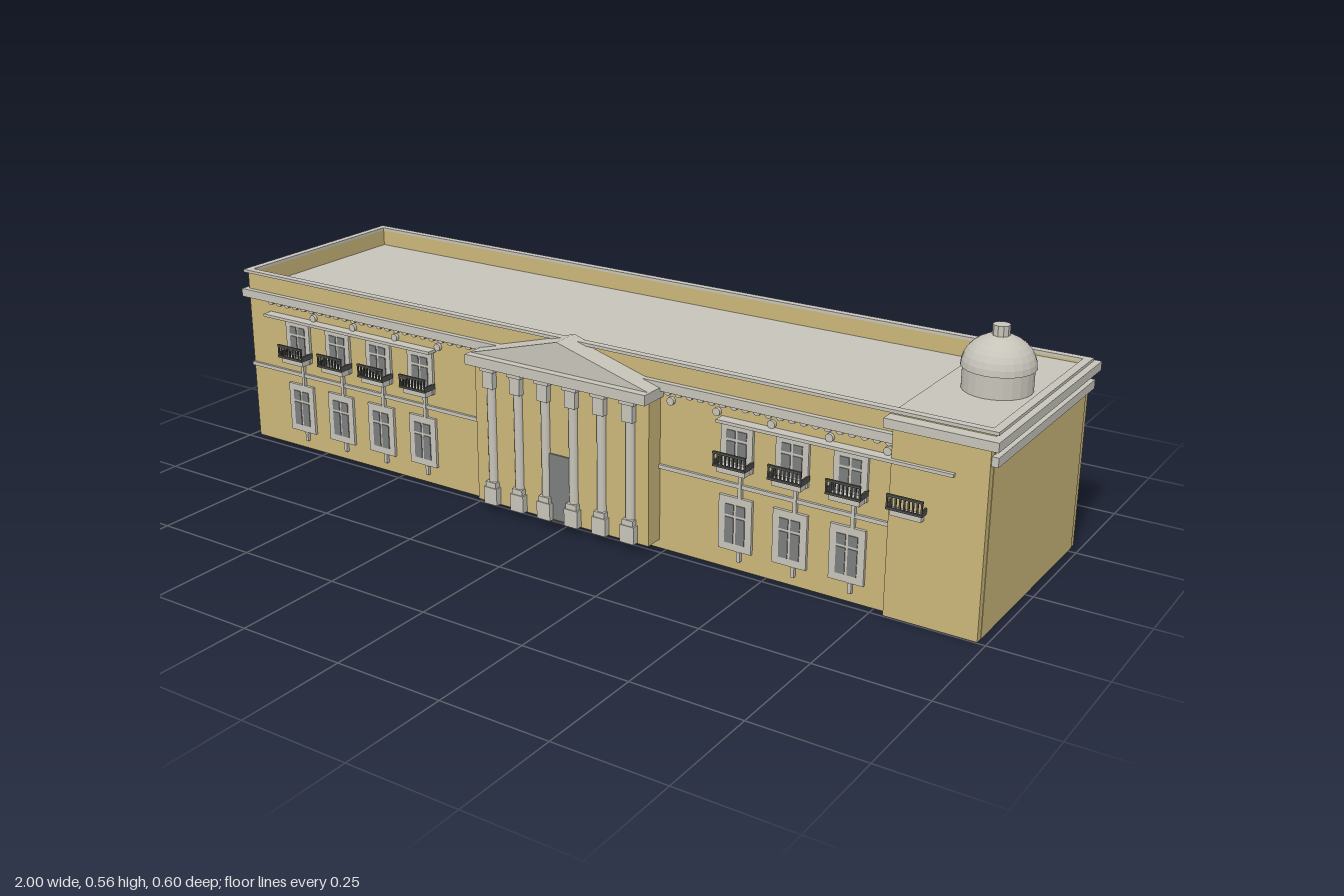
import * as THREE from 'three';

const mat = (name, color, side = THREE.FrontSide) => {
  const m = new THREE.MeshStandardMaterial({ color, side });
  m.name = name;
  return m;
};

export function createModel() {
  const tan = mat('ochre plaster', 0xcab679);
  const stone = mat('pale stone', 0xc6c3b9);
  const glass = mat('grey glass', 0x7b7d7d);
  const iron = mat('dark iron', 0x4c4c4a);

  const root = new THREE.Group();
  root.name = 'building';
  const add = (parent, name, geo, m) => {
    const mesh = new THREE.Mesh(geo, m);
    mesh.name = name;
    parent.add(mesh);
    return mesh;
  };
  // Box given by its limits on each axis
  const box = (parent, name, m, x0, x1, y0, y1, z0, z1) => {
    const mesh = add(parent, name, new THREE.BoxGeometry(x1 - x0, y1 - y0, z1 - z0), m);
    mesh.position.set((x0 + x1) / 2, (y0 + y1) / 2, (z0 + z1) / 2);
    return mesh;
  };
  const faceted = (geo) => {
    const g = geo.toNonIndexed();
    g.computeVertexNormals();
    return g;
  };
  // Rectangular ring of four bars, lying flat
  const ring = (name, m, x0, x1, y0, y1, z0, z1, t) => {
    const g = new THREE.Group();
    g.name = name;
    box(g, name + 'Front', m, x0, x1, y0, y1, z1 - t, z1);
    box(g, name + 'Back', m, x0, x1, y0, y1, z0, z0 + t);
    box(g, name + 'Left', m, x1 - t, x1, y0, y1, z0 + t, z1 - t);
    box(g, name + 'Right', m, x0, x0 + t, y0, y1, z0 + t, z1 - t);
    root.add(g);
  };

  // Main block with sunken roof, cornice and parapet
  box(root, 'mainWalls', tan, -0.982, 0.982, 0, 0.385, -0.27, 0.23);
  box(root, 'roof', stone, -0.975, 0.975, 0.385, 0.392, -0.262, 0.222);
  ring('parapet', tan, -0.982, 0.982, 0.385, 0.432, -0.27, 0.23, 0.01);
  ring('parapetCap', stone, -0.99, 0.99, 0.432, 0.439, -0.277, 0.238, 0.018);
  ring('cornice', stone, -0.995, 0.995, 0.37, 0.39, -0.283, 0.243, 0.02);

  // Corner tower with flat slab and dome
  box(root, 'towerWalls', tan, 0.778, 0.981, 0, 0.407, -0.286, 0.247);
  box(root, 'towerSlab', stone, 0.763, 1.0, 0.407, 0.427, -0.3, 0.26);
  const dome = new THREE.Group();
  dome.name = 'dome';
  dome.position.set(0.88, 0, -0.02);
  root.add(dome);
  const turned = (name, pts) => add(dome, name,
    faceted(new THREE.LatheGeometry(pts.map(([r, y]) => new THREE.Vector2(r, y)), 24)), stone);
  turned('domeDrum', [[0.073, 0.427], [0.073, 0.475]]);
  const shell = [[0.073, 0.475]];
  for (let i = 0; i <= 8; i++) {
    const a = (i / 8) * Math.PI / 2;
    shell.push([0.077 * Math.cos(a), 0.475 + 0.068 * Math.sin(a)]);
  }
  turned('domeShell', shell);
  const finial = add(dome, 'domeFinial', faceted(new THREE.CylinderGeometry(0.018, 0.018, 0.028, 10)), stone);
  finial.position.y = 0.549;

  // Portico: wall block, entablature, pediment, door
  const portico = new THREE.Group();
  portico.name = 'portico';
  root.add(portico);
  box(portico, 'porticoWall', tan, -0.233, 0.233, 0.02, 0.356, 0.22, 0.275);
  box(portico, 'entablature', stone, -0.24, 0.24, 0.354, 0.378, 0.225, 0.302);
  const gable = new THREE.Shape([[-0.236, 0.378], [0.236, 0.378], [0, 0.445]]
    .map(([x, y]) => new THREE.Vector2(x, y)));
  const pediment = add(portico, 'pediment',
    new THREE.ExtrudeGeometry(gable, { depth: 0.068, bevelEnabled: false }), stone);
  pediment.position.z = 0.215;
  box(portico, 'door', glass, -0.032, 0.032, 0.02, 0.18, 0.27, 0.279);
  box(portico, 'doorStep', iron, -0.036, 0.036, 0.016, 0.023, 0.272, 0.281);

  // Six engaged columns with stepped bases and capitals
  for (let i = 0; i < 6; i++) {
    const x = -0.187 + i * 0.0748;
    const col = new THREE.Group();
    col.name = 'column' + (i + 1);
    col.position.set(x, 0, 0.275);
    portico.add(col);
    const shaft = add(col, 'shaft', new THREE.CylinderGeometry(0.011, 0.011, 0.25, 14), stone);
    shaft.position.y = 0.19;
    box(col, 'plinth', stone, -0.018, 0.018, 0.022, 0.063, -0.008, 0.016);
    box(col, 'baseCollar', stone, -0.014, 0.014, 0.063, 0.076, -0.008, 0.014);
    box(col, 'capitalCollar', stone, -0.014, 0.014, 0.303, 0.343, -0.008, 0.015);
    box(col, 'abacus', stone, -0.019, 0.019, 0.343, 0.356, -0.008, 0.018);
  }

  // Framed window with two casements, each split by a bar
  const wall = 0.23;
  const window_ = (parent, name, y0, y1, w) => {
    const g = new THREE.Group();
    g.name = name;
    parent.add(g);
    const h = w / 2;
    box(g, 'windowFrame', stone, -h, h, y0, y1, wall - 0.005, wall + 0.007);
    for (const s of [-1, 1]) {
      const c = s * 0.0135, top = y1 - 0.017, bottom = y0 + 0.017, split = top - (top - bottom) * 0.3;
      box(g, 'lowerPane', glass, c - 0.0105, c + 0.0105, bottom, split - 0.003, wall, wall + 0.009);
      box(g, 'upperPane', glass, c - 0.0105, c + 0.0105, split + 0.003, top, wall, wall + 0.009);
    }
  };

  // Window bays, the last one partly swallowed by the tower
  const bays = [-0.82, -0.69, -0.56, -0.43, 0.425, 0.555, 0.687, 0.82];
  bays.forEach((x, i) => {
    const bay = new THREE.Group();
    bay.name = 'bay' + (i + 1);
    bay.position.x = x;
    root.add(bay);
    if (i < 7) {
      window_(bay, 'lowerWindow', 0.045, 0.168, 0.08);
      window_(bay, 'upperWindow', 0.23, 0.335, 0.076);
      box(bay, 'bracketStrip', stone, 0.006, 0.014, 0.168, 0.23, wall - 0.005, wall + 0.008);
      box(bay, 'sillDrop', stone, 0.006, 0.014, 0.022, 0.045, wall - 0.005, wall + 0.008);
    }
    // Balcony with iron railing
    box(bay, 'balconyFloor', stone, -0.034, 0.034, 0.228, 0.242, wall, 0.26);
    for (const y of [0.243, 0.271])
      box(bay, 'balconyRail', iron, -0.039, 0.039, y, y + 0.005, 0.264, 0.269);
    for (let k = 0; k < 9; k++) {
      const bx = -0.037 + k * 0.00925;
      box(bay, 'baluster', iron, bx - 0.0018, bx + 0.0018, 0.243, 0.275, 0.265, 0.268);
    }
    for (const s of [-1, 1])
      box(bay, 'balconySide', iron, s * 0.037 - 0.002, s * 0.037 + 0.002, 0.243, 0.256, wall, 0.265);
  });

  // Trim on each wing: string course, hood moulding, roundels, small scallops
  for (const s of [-1, 1]) {
    const span = (name, a, b, y0, y1, z1) =>
      box(root, name, stone, Math.min(s * a, s * b), Math.max(s * a, s * b), y0, y1, wall - 0.005, z1);
    span('stringCourse', 0.233, s < 0 ? 0.984 : 0.78, 0.19, 0.199, 0.236);
    span('hoodMoulding', 0.385, 0.912, 0.335, 0.342, 0.256);
    for (const x of [0.262, 0.375, 0.505, 0.637, 0.765]) {
      const disc = add(root, 'roundel', new THREE.CylinderGeometry(0.009, 0.009, 0.012, 12), stone);
      disc.rotation.x = Math.PI / 2;
      disc.position.set(s * x, 0.35, wall + 0.002);
    }
    for (let x = 0.255; x < (s < 0 ? 0.93 : 0.77); x += 0.027) {
      const scallop = add(root, 'scallop', new THREE.CylinderGeometry(0.009, 0.009, 0.012, 10), stone);
      scallop.rotation.x = Math.PI / 2;
      scallop.position.set(s * x, 0.371, wall + 0.003);
    }
  }
  return root;
}
